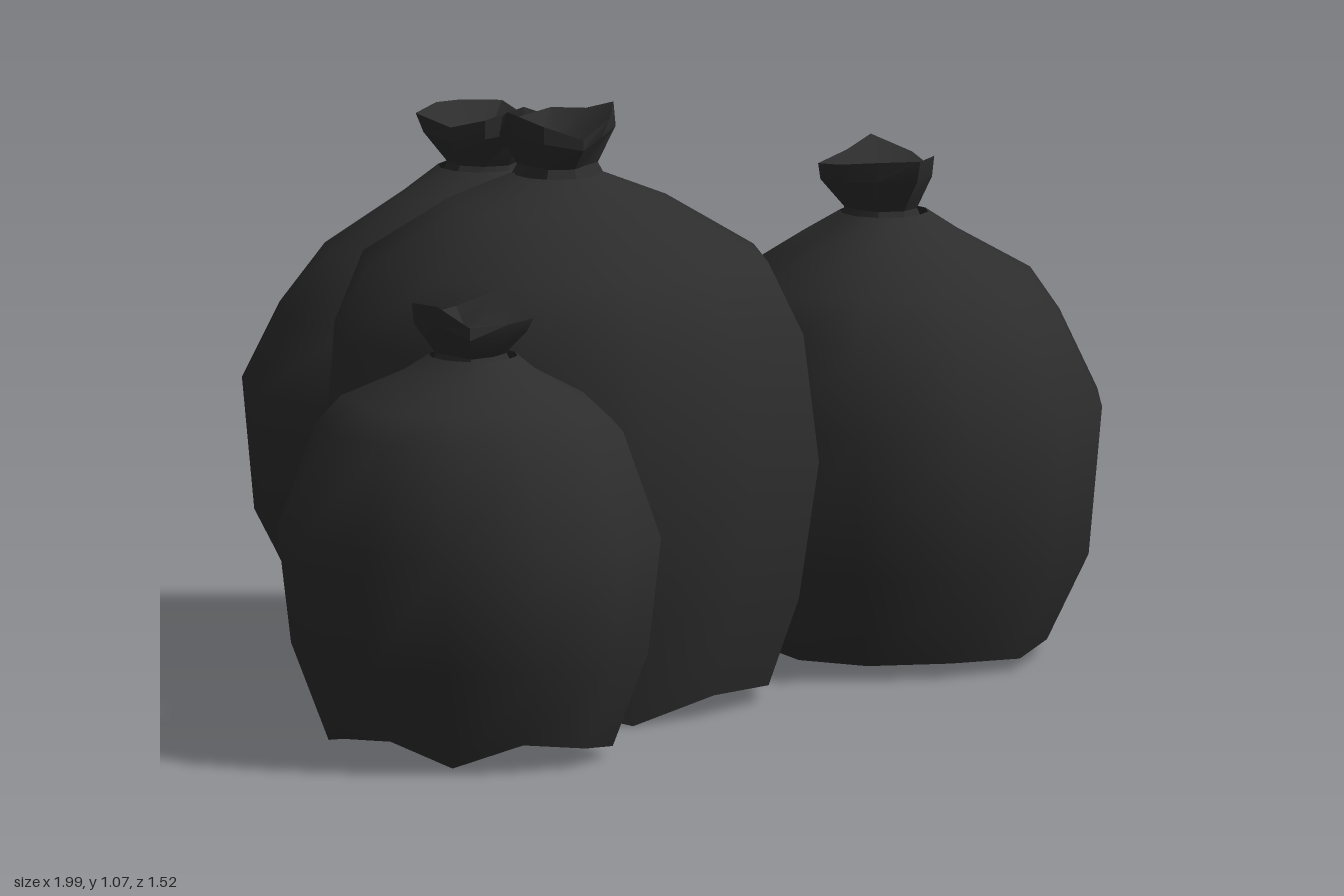
import * as THREE from 'three';
import { toCreasedNormals } from 'three/addons/utils/BufferGeometryUtils.js';

const plastic = new THREE.MeshStandardMaterial({ color: 0x2d2d2d, side: THREE.DoubleSide });
plastic.name = 'black plastic';

const SIDES = 12;

// repeatable wobble between -1 and 1
const wobble = (i, seed) => Math.sin(i * 2.4 + seed * 1.7) * 0.6 + Math.sin(i * 4.1 + seed) * 0.4;

// Skin a list of closed rings, bottom to top; a ring is an array of [x, y, z]
function loft(rings, crease) {
  const n = rings[0].length;
  const index = [];
  for (let r = 0; r < rings.length - 1; r++) {
    for (let i = 0; i < n; i++) {
      const a = r * n + i, b = r * n + (i + 1) % n;
      index.push(a, a + n, b, b, a + n, b + n);
    }
  }
  const geometry = new THREE.BufferGeometry();
  geometry.setAttribute('position', new THREE.Float32BufferAttribute(rings.flat(2), 3));
  geometry.setIndex(index);
  return toCreasedNormals(geometry, crease);
}

// Full sack: ragged base, bulging sides and shoulders drawn in to the neck
function sackGeometry({ centre, knot, radii, profile, seed }) {
  const neckY = profile[profile.length - 1][0];
  const rings = profile.map(([y, scale], level) => radii.map((radius, i) => {
    const angle = i / SIDES * Math.PI * 2;
    const t = Math.pow(Math.max(0, y / neckY - 0.45) / 0.55, 1.5);
    const even = scale < 0.35 ? 0.4 : radius;
    const pleat = scale < 0.7 && scale > 0.2 && level > 2 ? 1 + 0.06 * wobble(i, seed + level) : 1;
    const ragged = level === 1 ? 0.025 * wobble(i, seed) : 0;
    const cx = THREE.MathUtils.lerp(centre[0], knot[0], t);
    const cz = THREE.MathUtils.lerp(centre[1], knot[1], t);
    return [
      cx + Math.cos(angle) * even * scale * pleat,
      y + ragged,
      cz + Math.sin(angle) * even * scale * pleat,
    ];
  }));
  return loft(rings, 0.9);
}

// Gathered plastic above the tie: pinched neck, jagged flare, sunken middle
function knotGeometry({ knot, neck, top, seed }) {
  const h = top - neck;
  const levels = [[-0.25, 0.09, 0], [0.2, 0.065, 0], [0.6, 0.1, 0.1], [0.85, 0.105, 0.2], [0.55, 0.045, 0.1], [0.45, 0, 0]];
  const rings = levels.map(([t, radius, jag], level) => Array.from({ length: 9 }, (_, i) => {
    const angle = (i / 9) * Math.PI * 2 + seed * 0.6;
    const r = radius * (1 + 0.2 * wobble(i, seed + level * 0.4));
    return [
      knot[0] + Math.cos(angle) * r,
      neck + h * (t + jag * wobble(i * 2, seed)),
      knot[1] + Math.sin(angle) * r,
    ];
  }));
  return loft(rings, 0.5);
}

// Profiles are [height, share of full radius]; radii run from +x round to +z
const bags = [
  {
    name: 'middleBag', seed: 1, centre: [-0.12, 0.16], knot: [-0.11, 0.13], neck: 0.95, top: 1.08,
    radii: [0.42, 0.45, 0.46, 0.43, 0.43, 0.43, 0.43, 0.45, 0.44, 0.44, 0.42, 0.42],
    profile: [[0.05, 0], [0.035, 0.8], [0.2, 0.92], [0.45, 1], [0.68, 0.95], [0.81, 0.82], [0.91, 0.45], [0.96, 0.2]],
  },
  {
    name: 'leftBag', seed: 2, centre: [0.61, 0.32], knot: [0.58, 0.32], neck: 0.80, top: 0.94,
    radii: [0.39, 0.39, 0.38, 0.4, 0.4, 0.4, 0.37, 0.37, 0.4, 0.39, 0.36, 0.36],
    profile: [[0.05, 0], [0.035, 0.73], [0.2, 0.93], [0.47, 1], [0.62, 0.83], [0.7, 0.69], [0.78, 0.36], [0.82, 0.2]],
  },
  {
    name: 'rightBag', seed: 3, centre: [-0.68, 0.41], knot: [-0.66, 0.39], neck: 0.71, top: 0.83,
    radii: [0.32, 0.33, 0.34, 0.35, 0.34, 0.32, 0.32, 0.34, 0.36, 0.34, 0.34, 0.33],
    profile: [[0.06, 0], [0.045, 0.74], [0.2, 0.93], [0.41, 1], [0.6, 0.8], [0.65, 0.65], [0.7, 0.36], [0.73, 0.2]],
  },
  {
    name: 'backBag', seed: 4, centre: [0.21, -0.35], knot: [0.22, -0.32], neck: 0.86, top: 1.0,
    radii: [0.4, 0.42, 0.37, 0.36, 0.36, 0.37, 0.4, 0.41, 0.41, 0.41, 0.37, 0.36],
    profile: [[0.05, 0], [0.035, 0.68], [0.24, 0.94], [0.48, 1], [0.62, 0.85], [0.73, 0.68], [0.83, 0.36], [0.88, 0.2]],
  },
];

export function createModel() {
  const model = new THREE.Group();
  model.name = 'rubbishBags';
  for (const spec of bags) {
    const bag = new THREE.Group();
    bag.name = spec.name;
    const sack = new THREE.Mesh(sackGeometry(spec), plastic);
    sack.name = 'sack';
    const knot = new THREE.Mesh(knotGeometry(spec), plastic);
    knot.name = 'knot';
    bag.add(sack, knot);
    model.add(bag);
  }
  return model;
}
